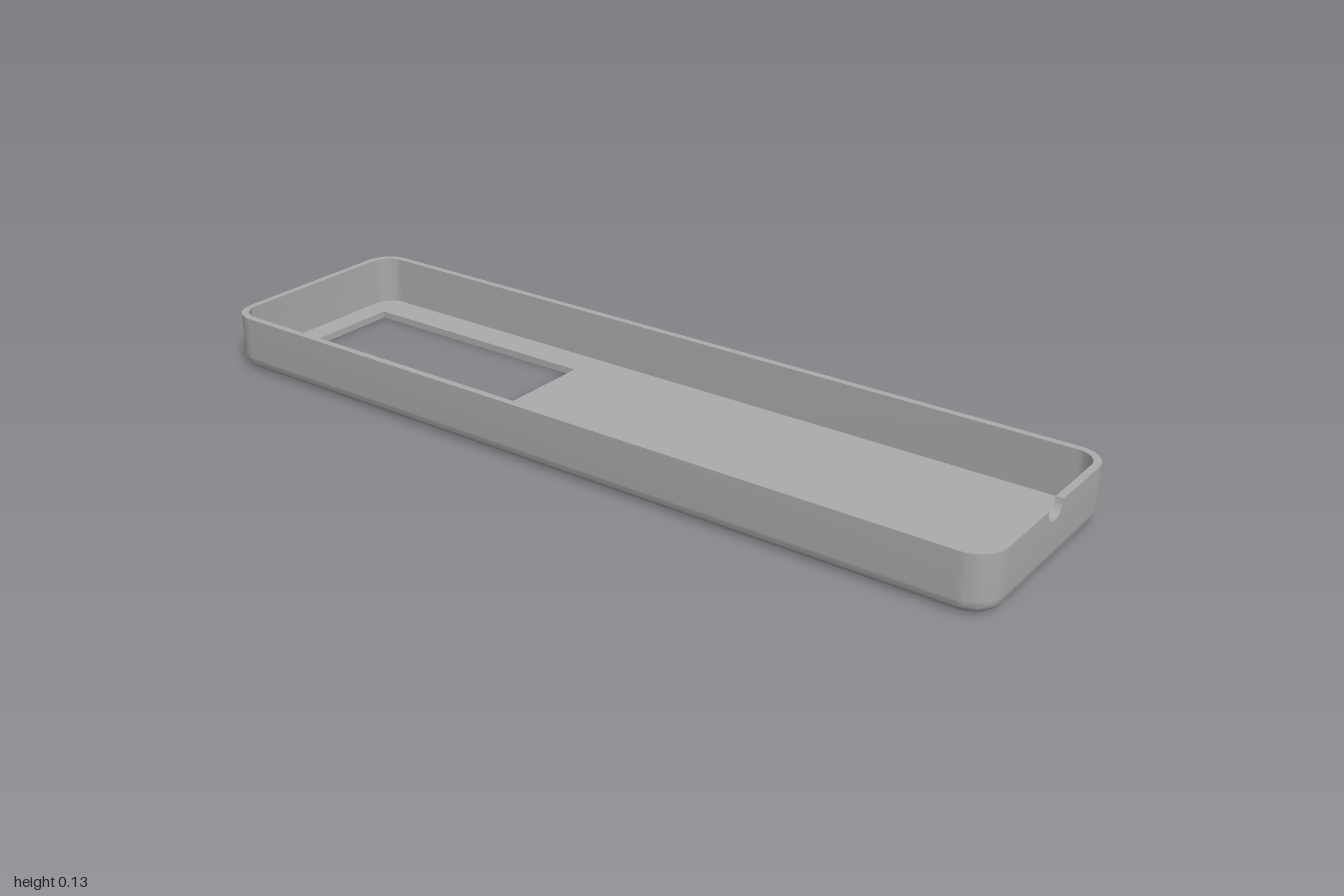
import * as THREE from 'three';
import { toCreasedNormals } from 'three/addons/utils/BufferGeometryUtils.js';

const HALF_X = 1, HALF_Z = 0.267, HEIGHT = 0.133;
const CORNER = 0.067, FILLET = 0.033, WALL = 0.0167, FLOOR = 0.0167, NOTCH = 0.033;
const WINDOW = { x0: -0.925, x1: -0.295, z0: -0.17, z1: 0.167 };

// Rounded rectangle at a given inset; the +x side carries extra points for the notch.
function ring(inset, y, notched = false) {
  const points = [];
  const r = CORNER - inset;
  [[1, 1], [-1, 1], [-1, -1], [1, -1]].forEach(([sx, sz], corner) => {
    for (let i = 0; i <= 12; i++) {
      const a = (corner + i / 12) * Math.PI / 2;
      points.push(new THREE.Vector3(
        sx * (HALF_X - CORNER) + r * Math.cos(a), y,
        sz * (HALF_Z - CORNER) + r * Math.sin(a)));
    }
  });
  for (let i = 0; i <= 20; i++) {
    const a = Math.PI * i / 20;
    const drop = notched ? NOTCH * Math.sin(a) : 0;
    points.push(new THREE.Vector3(HALF_X - inset, y - drop, -NOTCH * Math.cos(a)));
  }
  return points;
}

// Skin joining successive closed rings.
function loft(rings) {
  const n = rings[0].length;
  const index = [];
  for (let k = 0; k < rings.length - 1; k++) {
    for (let i = 0; i < n; i++) {
      const j = (i + 1) % n;
      const a = k * n + i, b = k * n + j, c = a + n, d = b + n;
      index.push(a, c, b, b, c, d);
    }
  }
  const geometry = new THREE.BufferGeometry().setFromPoints(rings.flat());
  geometry.setIndex(index);
  return toCreasedNormals(geometry, 0.6);
}

function windowRing(y) {
  const { x0, x1, z0, z1 } = WINDOW;
  return [[x1, z0], [x1, z1], [x0, z1], [x0, z0]].map(([x, z]) => new THREE.Vector3(x, y, z));
}

// Flat panel with the window cut out, facing up or down.
function panel(inset, y, up) {
  const flat = (p) => new THREE.Vector2(p.x, up ? -p.z : p.z);
  const shape = new THREE.Shape(ring(inset, 0).map(flat));
  shape.holes.push(new THREE.Path(windowRing(0).map(flat)));
  return new THREE.ShapeGeometry(shape).rotateX(up ? -Math.PI / 2 : Math.PI / 2).translate(0, y, 0);
}

export function createModel() {
  const tray = new THREE.Group();
  tray.name = 'tray';
  const grey = new THREE.MeshStandardMaterial({ color: 0xaaaaaa });
  grey.name = 'grey plastic';
  const add = (name, geometry) => {
    const mesh = new THREE.Mesh(geometry, grey);
    mesh.name = name;
    tray.add(mesh);
  };

  // Walls: bottom fillet, outer face, notched rim, inner face
  const rings = [];
  for (let i = 0; i <= 8; i++) {
    const a = (i / 8) * Math.PI / 2;
    rings.push(ring(FILLET * (1 - Math.sin(a)), FILLET * (1 - Math.cos(a))));
  }
  rings.push(ring(0, HEIGHT, true), ring(WALL, HEIGHT, true), ring(WALL, FLOOR));
  add('walls', loft(rings));

  // Floor with rectangular window
  add('floorTop', panel(WALL, FLOOR, true));
  add('floorUnderside', panel(FILLET, 0, false));
  add('windowEdges', loft([windowRing(FLOOR), windowRing(0)]));

  return tray;
}
